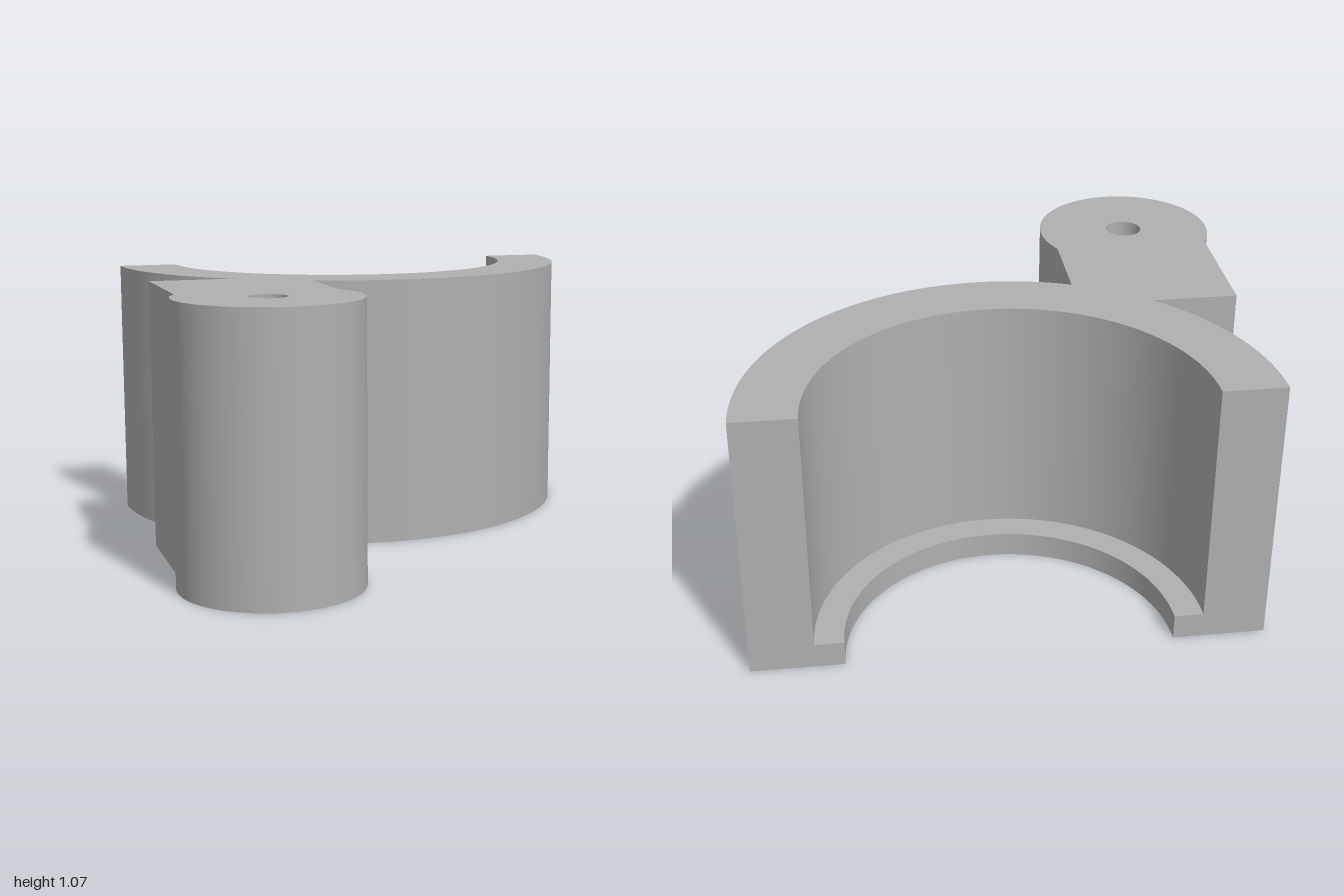
import * as THREE from 'three';
import { toCreasedNormals } from 'three/addons/utils/BufferGeometryUtils.js';

const HEIGHT = 1.07, LIP_HEIGHT = 0.1;
// Half-ring centre and radii, in plan (shape y = -z)
const RX = 0.023, RY = 0.888, OUTER = 0.977, BORE = 0.735, LIP = 0.623;
// Boss centre and radii, and half width of the arm that carries it
const BX = -0.647, BY = -0.53, BOSS = 0.353, HOLE = 0.072, ARM = 0.31;
const ARM_BACK = 0.157;

// Extrude a plan shape upwards from the ground
function extrudeUp(shape, height) {
  const g = new THREE.ExtrudeGeometry(shape, { depth: height, bevelEnabled: false, curveSegments: 64 });
  g.rotateX(-Math.PI / 2);
  return toCreasedNormals(g, 0.45);
}

export function createModel() {
  const group = new THREE.Group();
  const grey = new THREE.MeshStandardMaterial({ color: 0xb0b0b0 });
  grey.name = 'grey';

  // Where the arm sides meet the ring and the boss
  const right = BX + ARM, left = BX - ARM;
  const ringRight = Math.atan2(-Math.sqrt(OUTER ** 2 - (right - RX) ** 2), right - RX);
  const ringLeft = Math.atan2(ARM_BACK - RY, -Math.sqrt(OUTER ** 2 - (ARM_BACK - RY) ** 2));
  const bossAngle = Math.acos(ARM / BOSS);

  // Clamp body: half ring, arm and round boss in one outline
  const body = new THREE.Shape();
  body.moveTo(RX + OUTER, RY);
  body.absarc(RX, RY, OUTER, 0, ringRight, true);
  body.absarc(BX, BY, BOSS, bossAngle, -Math.PI - bossAngle, true);
  body.lineTo(left, ARM_BACK);
  body.absarc(RX, RY, OUTER, ringLeft, -Math.PI, true);
  body.absarc(RX, RY, BORE, Math.PI, Math.PI * 2, false);
  body.closePath();

  // Pin hole through the boss
  const hole = new THREE.Path();
  hole.absarc(BX, BY, HOLE, 0, Math.PI * 2, false);
  body.holes.push(hole);

  const bodyMesh = new THREE.Mesh(extrudeUp(body, HEIGHT), grey);
  bodyMesh.name = 'clampBody';
  group.add(bodyMesh);

  // Thin lip around the bottom of the bore
  const lip = new THREE.Shape();
  lip.moveTo(RX + BORE, RY);
  lip.absarc(RX, RY, BORE, 0, -Math.PI, true);
  lip.absarc(RX, RY, LIP, Math.PI, Math.PI * 2, false);
  lip.closePath();
  const lipMesh = new THREE.Mesh(extrudeUp(lip, LIP_HEIGHT), grey);
  lipMesh.name = 'bottomLip';
  group.add(lipMesh);

  return group;
}
